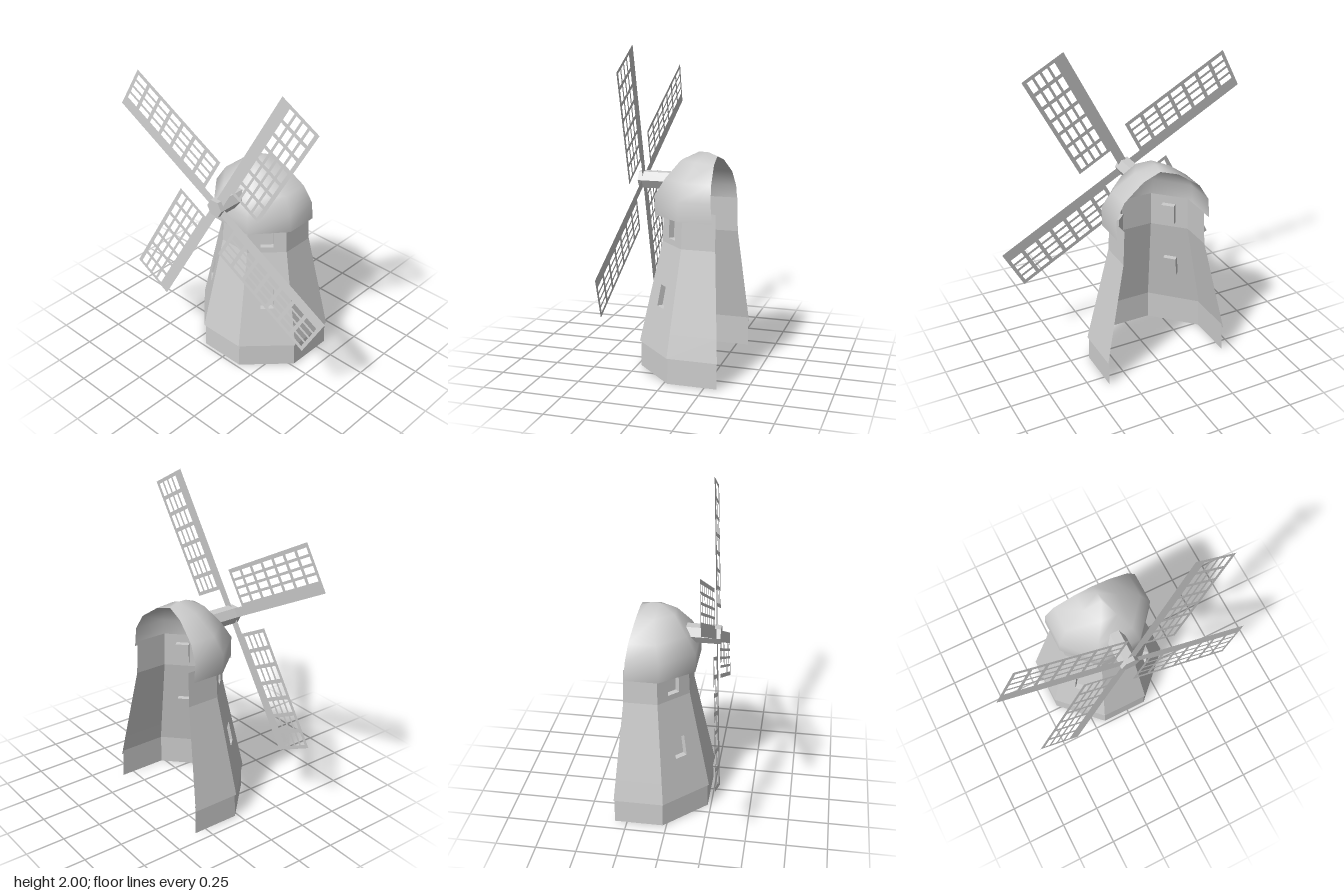
import * as THREE from 'three';
import { mergeVertices } from 'three/addons/utils/BufferGeometryUtils.js';

const CX = -0.022, CZ = -0.175; // centre of the tower's octagon plan
const K = 0.378;                // half side length of the octagon / apothem
const grey = new THREE.MeshStandardMaterial({ color: 0xcccccc, side: THREE.DoubleSide });

function add(parent, name, geometry) {
  const mesh = new THREE.Mesh(geometry, grey);
  mesh.name = name;
  parent.add(mesh);
  return mesh;
}

function rectHole(x0, y0, x1, y1) {
  return new THREE.Path([[x0, y0], [x0, y1], [x1, y1], [x1, y0]].map(p => new THREE.Vector2(...p)));
}

// Lean a flat geometry (across, height, depth) onto one side of the octagon
function leanOnto(geometry, distance, angle) {
  const p = geometry.attributes.position;
  for (let i = 0; i < p.count; i++) p.setZ(i, p.getZ(i) + distance(p.getY(i)));
  geometry.computeVertexNormals();
  return geometry.rotateY(angle);
}

// Tower: five sides of an octagon, open at the back
function makeTower() {
  const tower = new THREE.Group();
  tower.name = 'tower';
  tower.position.set(CX, 0, CZ);
  const W = 0.041, DEPTH = 0.035;
  const bands = [ // bottom height, apothem, top height, apothem, window heights
    { name: 'base', y0: 0, a0: 0.404, y1: 0.19, a1: 0.399 },
    { name: 'skirt', y0: 0.16, a0: 0.41, y1: 0.3, a1: 0.381 },
    { name: 'wall', y0: 0.3, a0: 0.381, y1: 0.8, a1: 0.276, window: [0.42, 0.55] },
    { name: 'upperWall', y0: 0.8, a0: 0.276, y1: 1.02, a1: 0.266, window: [0.835, 0.965] },
  ];
  for (const b of bands) {
    for (let i = -2; i <= 2; i++) {
      const angle = i * Math.PI / 4, diagonal = i % 2 !== 0;
      const dist = diagonal ? (1 + K) / Math.SQRT2 : 1;
      const half = diagonal ? (1 - K) / Math.SQRT2 : K;
      const distance = y => dist * THREE.MathUtils.mapLinear(y, b.y0, b.y1, b.a0, b.a1);
      const shape = new THREE.Shape([
        new THREE.Vector2(-half * b.a0, b.y0), new THREE.Vector2(half * b.a0, b.y0),
        new THREE.Vector2(half * b.a1, b.y1), new THREE.Vector2(-half * b.a1, b.y1),
      ]);
      if (b.window && diagonal) {
        const [w0, w1] = b.window;
        shape.holes.push(rectHole(-W, w0, W, w1));
        // Window niche: a box without its front, sunk into the wall
        const niche = new THREE.BoxGeometry(2 * W, w1 - w0, DEPTH);
        const index = Array.from(niche.index.array);
        index.splice(24, 6);
        niche.setIndex(index);
        niche.translate(0, (w0 + w1) / 2, -DEPTH / 2);
        add(tower, 'windowNiche', leanOnto(niche, distance, angle));
      }
      add(tower, b.name, leanOnto(new THREE.ShapeGeometry(shape), distance, angle));
    }
  }
  return tower;
}

// Cap: half-octagon rings that close on a short ridge, open at the back
function makeCap() {
  const rings = [ // height, height at back, half width, front z, back z
    [0.97, 0.97, 0.31, 0.138, -0.267],
    [1.09, 1.09, 0.308, 0.138, -0.257],
    [1.19, 1.19, 0.25, 0.08, -0.245],
    [1.295, 1.285, 0.115, 0.0, -0.225],
    [1.345, 1.322, 0, -0.1, -0.215],
  ];
  const position = [], index = [];
  rings.forEach(([y, yBack, w, front, back], r) => {
    const side = THREE.MathUtils.lerp(back, front, 0.51);
    position.push(w, yBack, back, w, y, side, w * 0.45, y, front);
    position.push(-w * 0.45, y, front, -w, y, side, -w, yBack, back);
    if (r === rings.length - 1) return;
    for (let i = 0; i < 5; i++) {
      const a = r * 6 + i, b = a + 1, c = a + 6, d = c + 1;
      index.push(b, a, c, b, c, d);
    }
  });
  let geometry = new THREE.BufferGeometry();
  geometry.setAttribute('position', new THREE.Float32BufferAttribute(position, 3));
  geometry.setIndex(index);
  geometry = mergeVertices(geometry, 1e-4);
  geometry.computeVertexNormals();
  return geometry.translate(CX, 0, 0);
}

// One sail: a spar with a lattice to one side
function makeSail(start, end) {
  const shape = new THREE.Shape([
    [-0.028, 0], [0.03, 0], [0.03, start], [0.267, start], [0.267, end], [-0.028, end],
  ].map(p => new THREE.Vector2(...p)));
  const rows = 7, cols = 4, pitchX = 0.053, pitchY = (end - start - 0.02) / rows;
  for (let r = 0; r < rows; r++) {
    for (let c = 0; c < cols; c++) {
      const x = 0.046 + c * pitchX, y = start + 0.022 + r * pitchY;
      shape.holes.push(rectHole(x, y, x + 0.037, y + pitchY - 0.024));
    }
  }
  return new THREE.ShapeGeometry(shape);
}

export function createModel() {
  const model = new THREE.Group();
  model.name = 'windmill';
  model.add(makeTower());
  add(model, 'cap', makeCap());

  // Hexagonal shaft
  const shaft = new THREE.CylinderGeometry(0.058, 0.058, 0.22, 6).toNonIndexed();
  shaft.rotateY(Math.PI / 6).rotateX(Math.PI / 2).rotateZ(Math.PI / 6 * 2);
  shaft.computeBoundingBox();
  if (shaft.boundingBox.max.y > 0.055) shaft.rotateZ(Math.PI / 6); // flat side up
  shaft.computeVertexNormals();
  add(model, 'shaft', shaft).position.set(-0.02, 1.16, 0.165);

  // Rotor, leaning back a little
  const rotor = new THREE.Group();
  rotor.name = 'rotor';
  rotor.position.set(-0.02, 1.16, 0.25);
  const turn = -THREE.MathUtils.degToRad(28.3);
  rotor.rotateOnAxis(new THREE.Vector3(Math.cos(turn), Math.sin(turn), 0), -THREE.MathUtils.degToRad(5));
  [0.942, 0.905, 0.907, 0.942].forEach((end, i) => {
    add(rotor, 'sail', makeSail(end - 0.773, end)).rotation.z = turn + i * Math.PI / 2;
  });
  model.add(rotor);
  return model;
}
